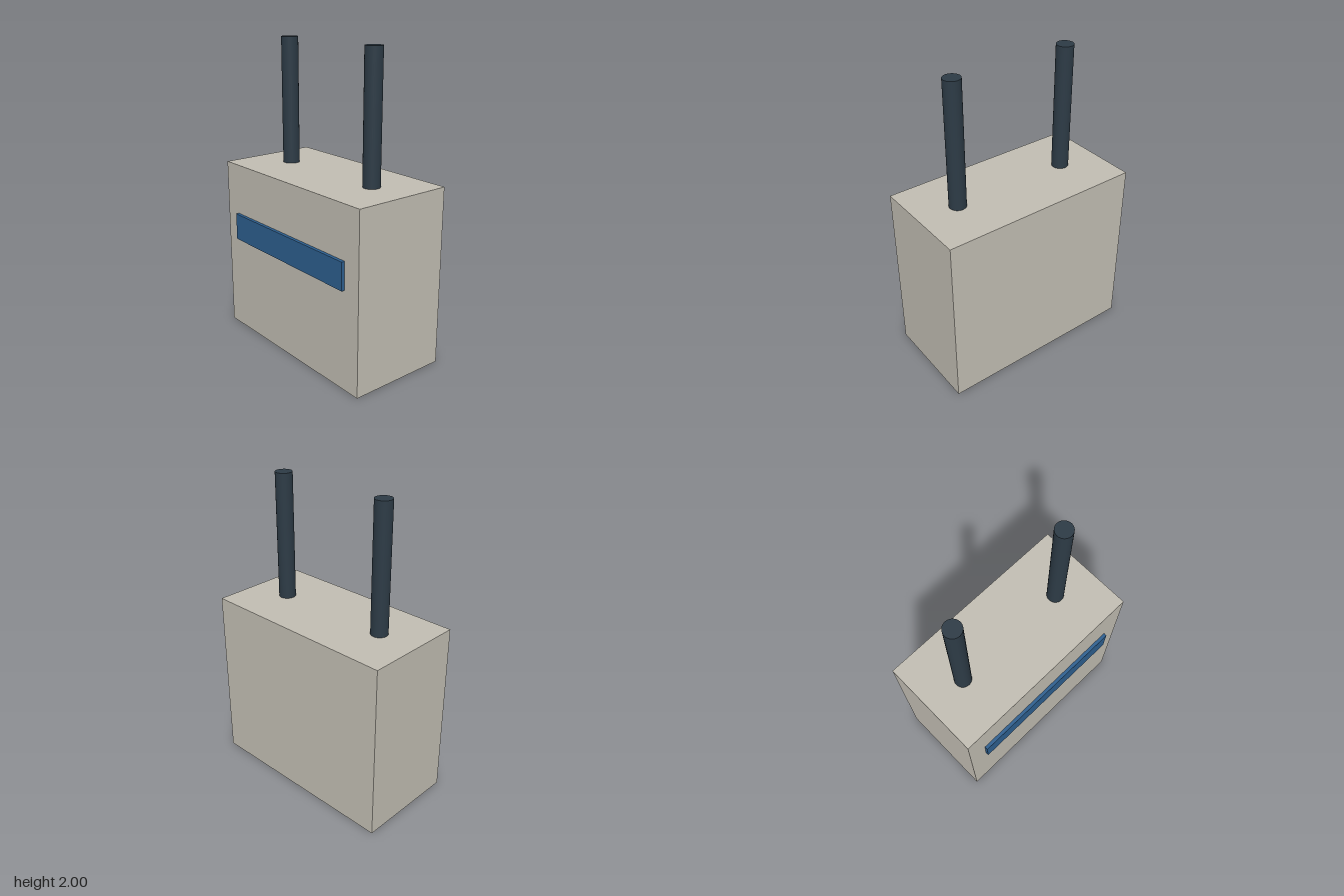
import * as THREE from 'three';

function material(name, color) {
  const m = new THREE.MeshStandardMaterial({ color });
  m.name = name;
  return m;
}

export function createModel() {
  const model = new THREE.Group();
  model.name = 'boxWithPosts';

  const casing = material('warm grey', 0xc2beb3);
  const blue = material('blue', 0x2d5f8f);
  const dark = material('dark slate', 0x2d3b46);

  function add(name, geometry, mat, x, y, z) {
    const mesh = new THREE.Mesh(geometry, mat);
    mesh.name = name;
    mesh.position.set(x, y, z);
    model.add(mesh);
  }

  // Main casing
  add('body', new THREE.BoxGeometry(1.348, 1.17, 0.674), casing, 0, 0.585, -0.011);

  // Raised band on the front, set slightly into the casing
  add('frontPanel', new THREE.BoxGeometry(1.106, 0.18, 0.044), blue, 0, 0.74, 0.326);

  // Pair of round posts rising from the top
  const postGeometry = new THREE.CylinderGeometry(0.055, 0.055, 0.83, 32);
  for (const side of [-1, 1]) {
    add(side > 0 ? 'leftPost' : 'rightPost', postGeometry, dark, side * 0.4, 1.585, -0.011);
  }

  return model;
}
